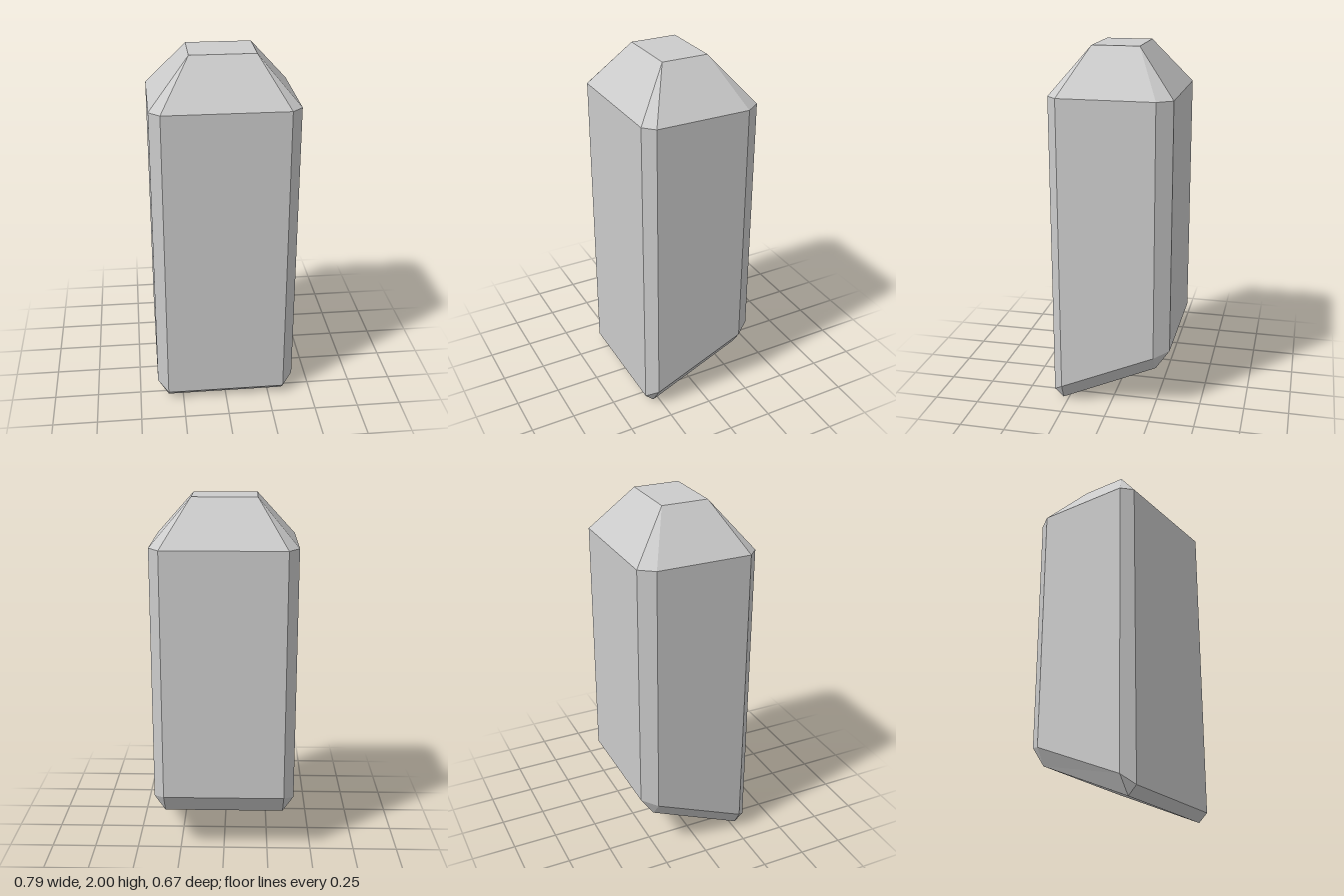
import * as THREE from 'three';

// Right-hand half outlines, front to back, as [x, y, z]
const topCorners = [[0.177, 2, 0.133], [0.177, 2, 0.133], [0.177, 2, -0.125], [0.177, 2, -0.125]];
const outline = [[0.337, 0.332], [0.396, 0.275], [0.396, -0.252], [0.337, -0.334]];
const shoulder = outline.map(([x, z]) => [x, 1.75, z]);
const slantHeights = [0.048, 0.098, 0.33, 0.357];
const slant = outline.map(([x, z], i) => [x, slantHeights[i], z]);
const footCorners = [[0.335, 0, 0.282], [0.335, 0, 0.282], [0.335, 0.243, -0.257], [0.335, 0.243, -0.257]];

// Mirror a half outline into a closed ring, counter-clockwise from above
function ring(half) {
  const right = half.map((p) => new THREE.Vector3(...p));
  const left = right.map((p) => new THREE.Vector3(-p.x, p.y, p.z)).reverse();
  return [...right, ...left];
}

// Faceted band between two rings, optionally capped at either end
function band(name, lowerHalf, upperHalf, { capTop = false, capBottom = false } = {}) {
  const lower = ring(lowerHalf), upper = ring(upperHalf), points = [];
  const triangle = (a, b, c) => {
    if (a.equals(b) || b.equals(c) || c.equals(a)) return;
    points.push(a, b, c);
  };
  const n = lower.length;
  for (let i = 0; i < n; i++) {
    const j = (i + 1) % n;
    triangle(lower[i], lower[j], upper[j]);
    triangle(lower[i], upper[j], upper[i]);
  }
  for (let i = 1; i < n - 1; i++) {
    if (capTop) triangle(upper[0], upper[i], upper[i + 1]);
    if (capBottom) triangle(lower[0], lower[i + 1], lower[i]);
  }
  const geometry = new THREE.BufferGeometry().setFromPoints(points);
  geometry.computeVertexNormals();
  const mesh = new THREE.Mesh(geometry, new THREE.MeshStandardMaterial({ color: 0xcccccc, flatShading: true }));
  mesh.name = name;
  return mesh;
}

export function createModel() {
  const model = new THREE.Group();
  model.name = 'bevelledBlock';
  model.add(
    band('crown', shoulder, topCorners, { capTop: true }),
    band('shaft', slant, shoulder),
    band('slantedFoot', footCorners, slant, { capBottom: true }),
  );
  return model;
}
